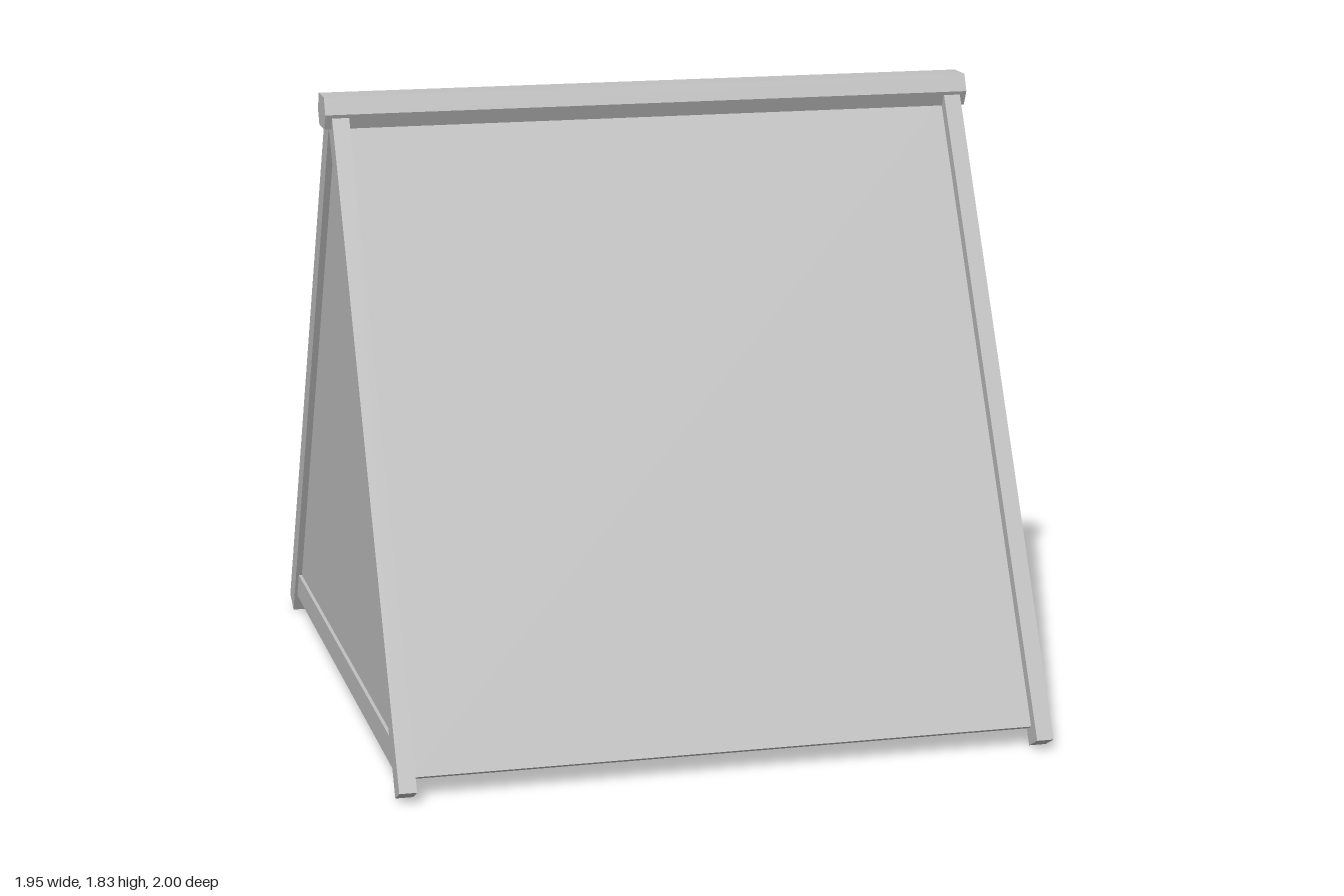
import * as THREE from 'three';

export function createModel() {
  const tent = new THREE.Group();
  tent.name = 'tent';
  const grey = new THREE.MeshStandardMaterial({ color: 0xc0c0c0 });
  grey.name = 'plain grey';

  const add = (parent, name, geometry, x = 0, y = 0, z = 0) => {
    const mesh = new THREE.Mesh(geometry, grey);
    mesh.name = name;
    mesh.position.set(x, y, z);
    parent.add(mesh);
    return mesh;
  };

  // Extrude a (z, y) outline along x, centred on the given x
  const alongX = (name, points, width, x) => {
    const shape = new THREE.Shape(points.map(([z, y]) => new THREE.Vector2(-z, y)));
    const geometry = new THREE.ExtrudeGeometry(shape, { depth: width, bevelEnabled: false });
    geometry.translate(0, 0, -width / 2).rotateY(Math.PI / 2);
    return add(tent, name, geometry, x);
  };

  const baseZ = 0.935, apexY = 1.735;
  const lean = Math.atan2(baseZ, apexY);
  const slope = Math.hypot(baseZ, apexY);

  // Front and back slopes: a cloth sheet held between two leaning poles
  for (const side of ['front', 'back']) {
    const half = new THREE.Group();
    half.name = side + 'Slope';
    half.rotation.y = side === 'front' ? 0 : Math.PI;
    const frame = new THREE.Group();
    frame.name = side + 'Frame';
    frame.position.z = baseZ;
    frame.rotation.x = -lean;
    half.add(frame);
    tent.add(half);

    for (const x of [-0.93, 0.93]) {
      add(frame, side + 'Pole', new THREE.BoxGeometry(0.05, slope, 0.074), x, slope / 2, 0.037);
    }
    const start = 0.048;
    add(frame, side + 'Cloth', new THREE.BoxGeometry(1.82, slope - start, 0.025),
      0, (slope + start) / 2, 0.027);
  }

  // Ridge beam with a flattened six-sided section
  alongX('ridgeBeam', [
    [-0.046, 1.83], [-0.067, 1.78], [-0.046, 1.736],
    [0.046, 1.736], [0.067, 1.78], [0.046, 1.83],
  ], 1.95, 0);

  // Triangular end walls, each with a bar along the bottom
  const zAt = (y) => baseZ * (1 - y / apexY) + 0.005;
  for (const x of [-0.928, 0.928]) {
    alongX('endWall', [[-zAt(0.1), 0.1], [zAt(0.1), 0.1], [0, apexY]], 0.016, x);
    alongX('endBar', [
      [-zAt(0.057), 0.057], [zAt(0.057), 0.057], [zAt(0.137), 0.137], [-zAt(0.137), 0.137],
    ], 0.036, x);
  }
  return tent;
}
